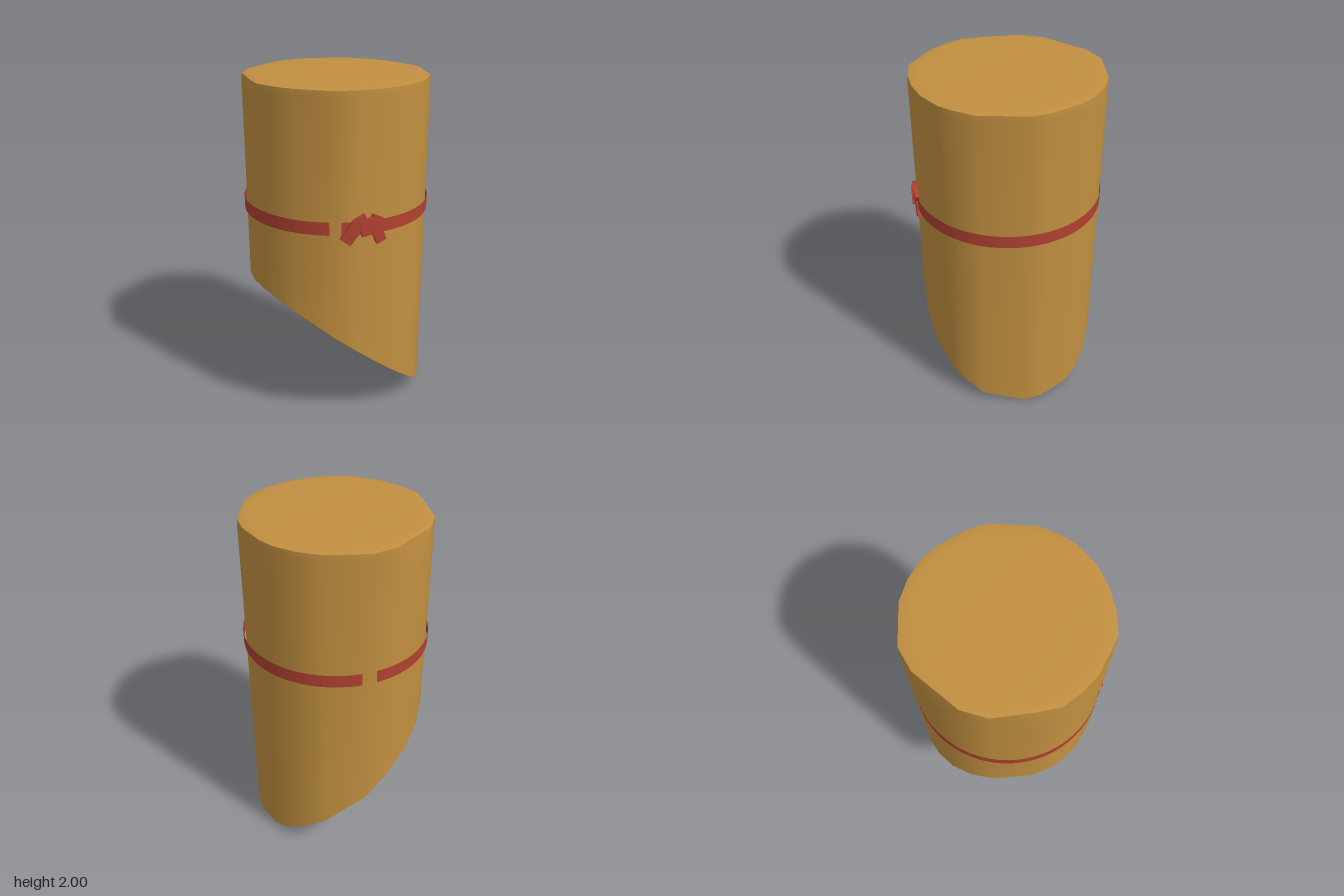
import * as THREE from 'three';

// Uneven hand-cut outline (x, z), running from the back round the +x side
const OUTLINE = [
  [0, -0.55], [0.23, -0.485], [0.34, -0.41], [0.43, -0.31], [0.475, -0.22], [0.52, -0.05], [0.52, 0.06],
  [0.43, 0.3], [0.34, 0.395], [0.27, 0.45], [0.13, 0.505], [0, 0.52], [-0.13, 0.51], [-0.26, 0.472],
  [-0.42, 0.315], [-0.48, 0.21], [-0.52, 0.1], [-0.53, -0.02], [-0.47, -0.24],
  [-0.39, -0.36], [-0.28, -0.455], [-0.14, -0.52],
];
const NICKS = [17, 20]; // corners whose top edge is shaved back

// Ring of the outline, scaled, with its height given by a rule
const ring = (scale, height) => OUTLINE.map(([x, z], i) => {
  const s = typeof scale === 'function' ? scale(i) : scale;
  return [x * s, height(x * s, i), z * s];
});

// Smooth closed skin through a list of rings, from bottom to top
function loft(rings) {
  const n = OUTLINE.length;
  const index = [];
  for (let r = 0; r < rings.length - 1; r++) {
    for (let i = 0; i < n; i++) {
      const a = r * n + i, b = r * n + (i + 1) % n;
      index.push(a, a + n, b, b, a + n, b + n);
    }
  }
  const geo = new THREE.BufferGeometry();
  geo.setAttribute('position', new THREE.Float32BufferAttribute(rings.flat(2), 3));
  geo.setIndex(index);
  geo.computeVertexNormals();
  return geo;
}

export function createModel() {
  const wood = new THREE.MeshStandardMaterial({ color: 0xc18f40 });
  wood.name = 'tan wood';
  const red = new THREE.MeshStandardMaterial({ color: 0xb04131, side: THREE.DoubleSide });
  red.name = 'red cord';

  const model = new THREE.Group();
  const add = (name, geo, mat, parent = model) => {
    const mesh = new THREE.Mesh(geo, mat);
    mesh.name = name;
    parent.add(mesh);
    return mesh;
  };

  // Stalk: slanted foot, upright wall, flat top with a soft worn edge
  const slant = (x) => Math.max(0, 0.4 - 0.8 * x);
  const under = (x) => Math.max(0.005, 0.388 - 0.8 * x);
  const rimScale = (i) => (NICKS.includes(i) ? 0.955 : 0.995);
  const foot = ring(1, slant);
  const rim = ring(rimScale, () => 1.99);
  add('wall', loft([foot, ring(1, (x, i) => (NICKS.includes(i) ? 1.76 : 1.96)), rim]), wood);
  add('slantedFoot', loft([ring(0, under), ring(0.93, under), foot]), wood);
  add('top', loft([rim, ring(0.9, () => 2), ring(0, () => 2)]), wood);

  // Cord around the middle
  const band = add('band', new THREE.CylinderGeometry(0.537, 0.537, 0.074, 64, 1, true), red);
  band.position.set(0, 1.262, -0.005);

  // Knot: [x, y, z, width, height, tilt]
  const knot = new THREE.Group();
  knot.name = 'knot';
  model.add(knot);
  [
    ['leftTail', -0.175, 1.238, 0.506, 0.07, 0.12, -0.62],
    ['rightTail', -0.03, 1.23, 0.528, 0.06, 0.125, 0.4],
    ['leftLoop', -0.125, 1.295, 0.522, 0.075, 0.07, 0.5],
    ['rightLoop', -0.045, 1.285, 0.53, 0.065, 0.08, -0.45],
    ['knotCentre', -0.095, 1.27, 0.535, 0.08, 0.09, 0.2],
  ].forEach(([name, x, y, z, w, h, tilt]) => {
    const piece = add(name, new THREE.BoxGeometry(w, h, 0.024), red, knot);
    piece.position.set(x, y, z);
    piece.rotation.set(0, x * 1.8, tilt, 'YXZ');
  });

  return model;
}
